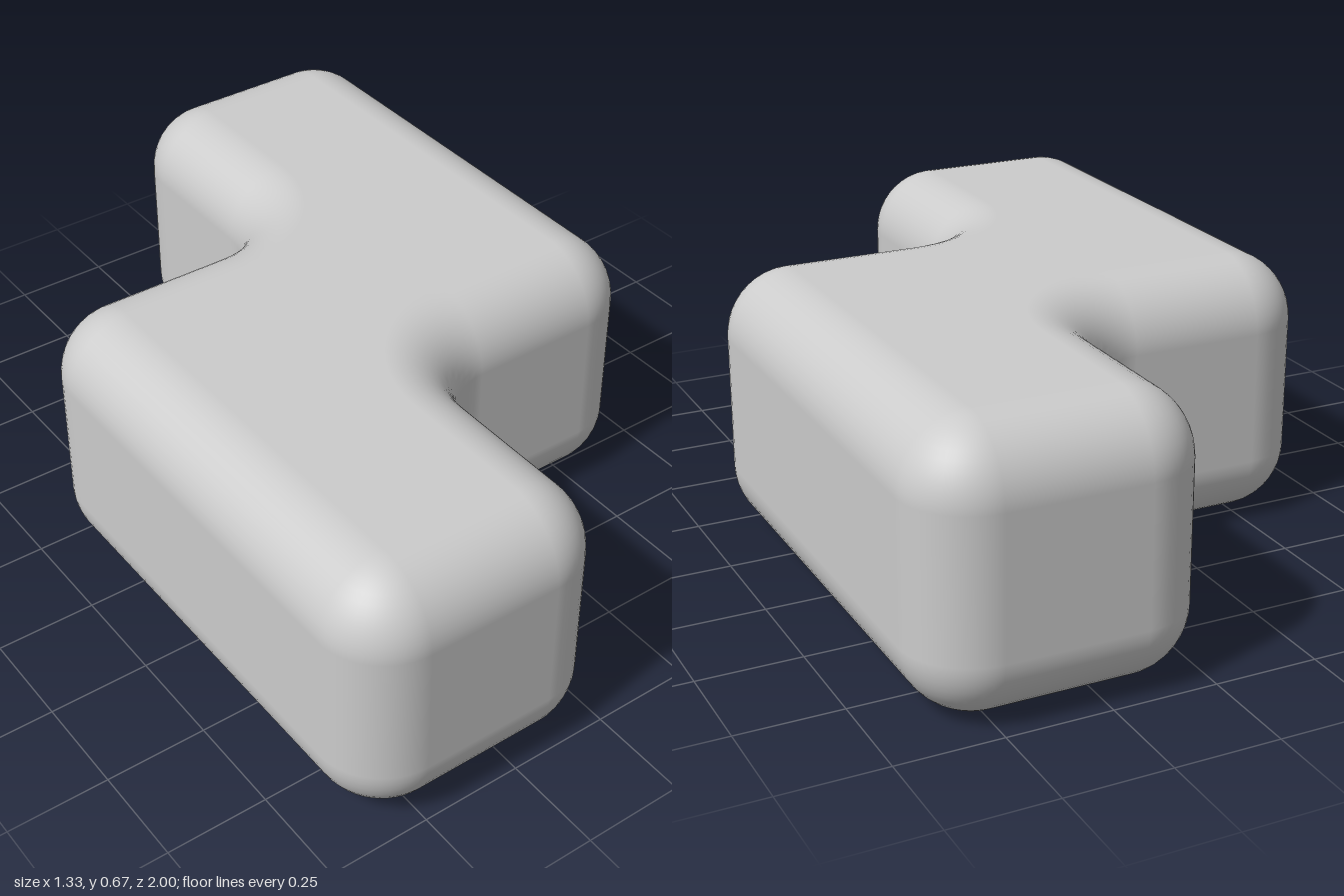
import * as THREE from 'three';

const R = 1 / 6;          // edge and corner radius
const U = 2 / 3;          // size of one square cell, also the height
const CORNER_STEPS = 12, EDGE_STEPS = 12;

// Z-shaped plan: corners as [x, z]
const CORNERS = [
  [-U, -U / 2], [0, -U / 2], [0, -1], [U, -1],
  [U, U / 2], [0, U / 2], [0, 1], [-U, 1],
].map(([x, z]) => new THREE.Vector2(x, z));

// Outline with every corner rounded; each sample has a point and its outward normal
function roundedOutline() {
  const samples = [];
  const count = CORNERS.length;
  CORNERS.forEach((corner, i) => {
    const d1 = corner.clone().sub(CORNERS[(i + count - 1) % count]).normalize();
    const d2 = CORNERS[(i + 1) % count].clone().sub(corner).normalize();
    const n1 = new THREE.Vector2(d1.y, -d1.x);
    const n2 = new THREE.Vector2(d2.y, -d2.x);
    const sign = d1.cross(d2) > 0 ? 1 : -1;   // outer corner or inner corner
    const centre = corner.clone().addScaledVector(n1, -sign * R).addScaledVector(n2, -sign * R);
    for (let k = 0; k <= CORNER_STEPS; k++) {
      const t = (k / CORNER_STEPS) * Math.PI / 2;
      const normal = n1.clone().multiplyScalar(Math.cos(t)).addScaledVector(n2, Math.sin(t));
      samples.push({ point: centre.clone().addScaledVector(normal, sign * R), normal });
    }
  });
  return samples;
}

function roundedSlab() {
  const outline = roundedOutline();
  const n = outline.length;
  const positions = [], normals = [], indices = [];

  // Cross-section rings: bottom quarter round, straight wall, top quarter round
  const rings = [];
  for (const end of [-1, 1]) {
    for (let k = 0; k <= EDGE_STEPS; k++) {
      const a = (end < 0 ? k - EDGE_STEPS : k) / EDGE_STEPS * Math.PI / 2;
      rings.push({ y: (end < 0 ? R : U - R) + R * Math.sin(a), c: Math.cos(a), s: Math.sin(a) });
    }
  }
  for (const { y, c, s } of rings) {
    for (const { point, normal } of outline) {
      const inset = R * (1 - c);
      positions.push(point.x - normal.x * inset, y, point.y - normal.y * inset);
      normals.push(normal.x * c, s, normal.y * c);
    }
  }
  for (let j = 0; j < rings.length - 1; j++) {
    for (let i = 0; i < n; i++) {
      const a = j * n + i, b = j * n + (i + 1) % n;
      indices.push(a, a + n, b, b, a + n, b + n);
    }
  }

  // Flat top and bottom, sharing the end rings
  const inner = outline.map(({ point, normal }) => point.clone().addScaledVector(normal, -R));
  const top = (rings.length - 1) * n;
  for (const [a, b, c] of THREE.ShapeUtils.triangulateShape(inner, [])) {
    indices.push(a, b, c, top + a, top + c, top + b);
  }

  const geometry = new THREE.BufferGeometry();
  geometry.setAttribute('position', new THREE.Float32BufferAttribute(positions, 3));
  geometry.setAttribute('normal', new THREE.Float32BufferAttribute(normals, 3));
  geometry.setIndex(indices);
  return geometry;
}

export function createModel() {
  const group = new THREE.Group();
  group.name = 'zBlock';
  const body = new THREE.Mesh(roundedSlab(), new THREE.MeshStandardMaterial({ color: 0xcccccc }));
  body.name = 'roundedBody';
  group.add(body);
  return group;
}
